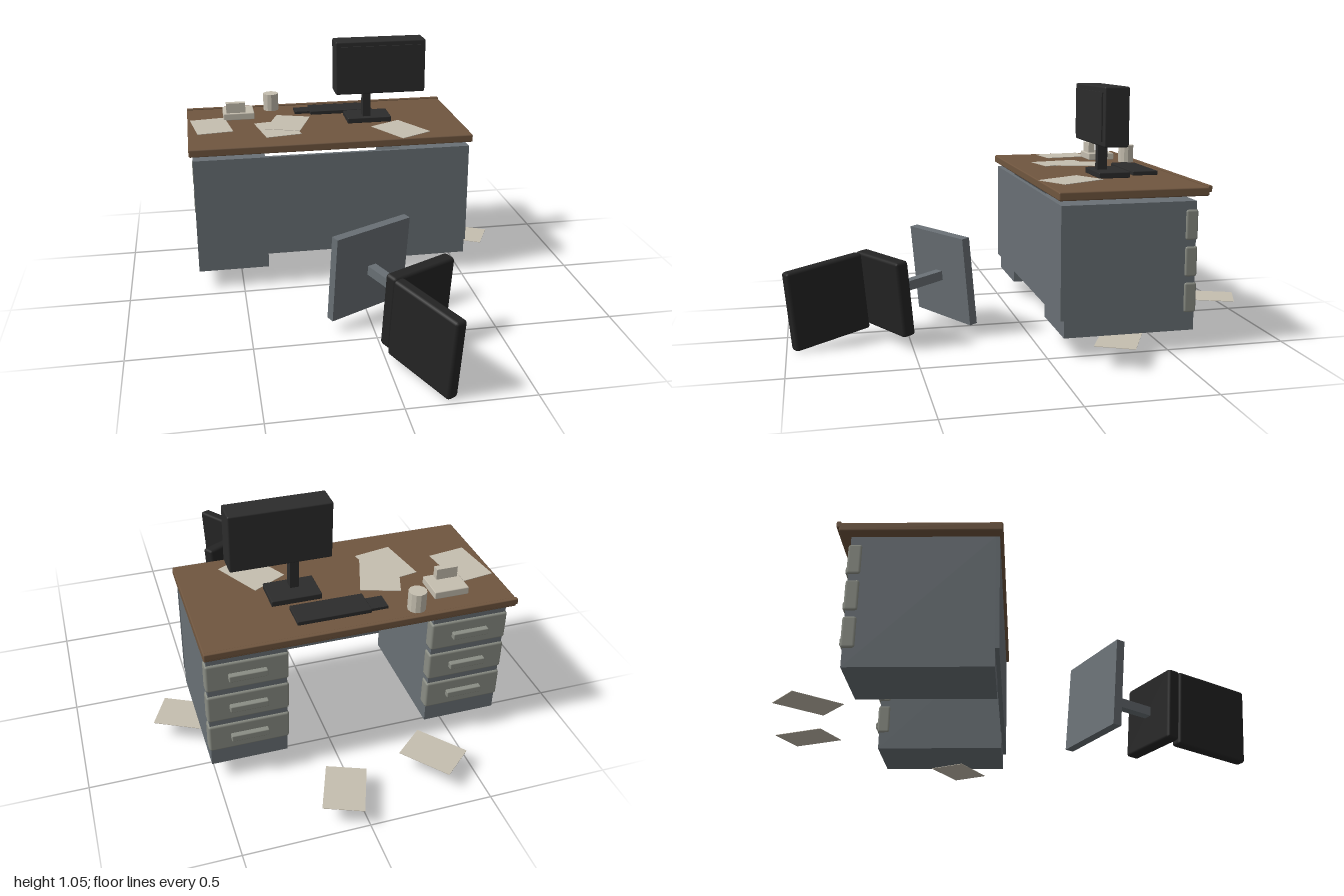
import * as THREE from 'three';
import { RoundedBoxGeometry } from 'three/addons/geometries/RoundedBoxGeometry.js';

const mat = (name, color) => {
  const m = new THREE.MeshStandardMaterial({ color });
  m.name = name;
  return m;
};

export function createModel() {
  const wood = mat('brown wood', 0x70563f);
  const steel = mat('grey steel', 0x697075);
  const drawerGrey = mat('warm drawer grey', 0x8a8d84);
  const black = mat('black plastic', 0x2c2c2c);
  const cushion = mat('black upholstery', 0x242424);
  const cream = mat('cream', 0xc5beaf);

  const model = new THREE.Group();
  model.name = 'officeDesk';

  const group = (name) => {
    const g = new THREE.Group();
    g.name = name;
    model.add(g);
    return g;
  };
  const add = (parent, name, geo, material, x, y, z) => {
    const m = new THREE.Mesh(geo, material);
    m.name = name;
    m.position.set(x, y, z);
    parent.add(m);
    return m;
  };
  // Box given by its min and max corners, with an optional bevel
  const span = (parent, name, material, [x0, y0, z0], [x1, y1, z1], bevel = 0) => {
    const s = [x1 - x0, y1 - y0, z1 - z0];
    const geo = bevel ? new RoundedBoxGeometry(...s, 1, bevel) : new THREE.BoxGeometry(...s);
    return add(parent, name, geo, material, (x0 + x1) / 2, (y0 + y1) / 2, (z0 + z1) / 2);
  };

  // Desk top with a raised lip along the back edge
  const desk = group('desk');
  span(desk, 'deskTop', wood, [-0.71, 0.635, -0.645], [0.535, 0.67, -0.033], 0.006);
  span(desk, 'backLip', wood, [-0.71, 0.65, -0.655], [0.535, 0.676, -0.637], 0.004);
  span(desk, 'frontPanel', steel, [-0.695, 0.16, -0.062], [0.522, 0.615, -0.045]);

  // Two pedestals, each with three drawers facing the back
  for (const x of [-0.54, 0.365]) {
    const p = group('pedestal');
    span(p, 'pedestalBody', steel, [x - 0.155, 0.09, -0.598], [x + 0.155, 0.615, -0.06]);
    for (const y of [0.225, 0.372, 0.52]) {
      span(p, 'drawer', drawerGrey, [x - 0.162, y - 0.062, -0.606], [x + 0.162, y + 0.062, -0.553], 0.01);
      span(p, 'drawerHandle', drawerGrey, [x - 0.075, y - 0.014, -0.627], [x + 0.075, y + 0.014, -0.602], 0.004);
    }
  }

  // Monitor
  const monitor = group('monitor');
  span(monitor, 'monitorBody', black, [-0.043, 0.815, -0.367], [0.367, 1.056, -0.262], 0.007);
  span(monitor, 'screen', black, [-0.02, 0.837, -0.264], [0.344, 1.034, -0.256]);
  span(monitor, 'monitorNeck', black, [0.09, 0.685, -0.355], [0.125, 0.82, -0.313]);
  span(monitor, 'monitorFoot', black, [0.016, 0.67, -0.427], [0.22, 0.695, -0.29], 0.004);

  // Keyboard and mouse
  span(desk, 'keyboard', black, [-0.135, 0.67, -0.572], [0.16, 0.688, -0.459], 0.003);
  span(desk, 'mouse', black, [-0.206, 0.67, -0.561], [-0.13, 0.681, -0.487]);

  // Desk tray and cup
  span(desk, 'trayBase', cream, [-0.543, 0.67, -0.56], [-0.4, 0.702, -0.435], 0.004);
  span(desk, 'trayBlock', cream, [-0.529, 0.7, -0.475], [-0.441, 0.748, -0.446]);
  const cup = new THREE.CylinderGeometry(0.036, 0.036, 0.08, 12).toNonIndexed();
  cup.computeVertexNormals();
  add(desk, 'cup', cup, cream, -0.31, 0.71, -0.59);

  // Loose papers: x, y, z, turn
  const papers = group('papers');
  const sheet = new THREE.BoxGeometry(0.16, 0.002, 0.22);
  [
    [-0.603, 0.672, -0.357, 0.14], [-0.31, 0.672, -0.265, 0.18],
    [-0.255, 0.674, -0.34, -0.33], [0.235, 0.672, -0.165, 0.5],
    [-0.343, 0.09, -0.785, 0.7], [0.06, 0.09, -0.87, -0.38], [0.567, 0.088, -0.269, 1.107],
  ].forEach(([x, y, z, turn]) => {
    add(papers, 'paper', sheet, cream, x, y, z).rotation.y = turn;
  });

  // Chair toppled on its side: local z runs from the floor plate to the seat
  const chair = group('topplingChair');
  chair.name = 'toppledChair';
  chair.rotation.set(0.1, 0.49, 0, 'YXZ');
  chair.position.set(-0.005, 0.245, 0.338);
  add(chair, 'chairBase', new THREE.BoxGeometry(0.375, 0.376, 0.036), steel, 0, 0, 0);
  add(chair, 'chairColumn', new THREE.BoxGeometry(0.04, 0.04, 0.28), steel, 0, 0, 0.145);
  add(chair, 'seat', new RoundedBoxGeometry(0.308, 0.314, 0.057, 1, 0.012), cushion, 0.004, 0, 0.299);
  add(chair, 'backrest', new RoundedBoxGeometry(0.05, 0.33, 0.345, 1, 0.012), cushion, -0.13, -0.01, 0.495);

  return model;
}
